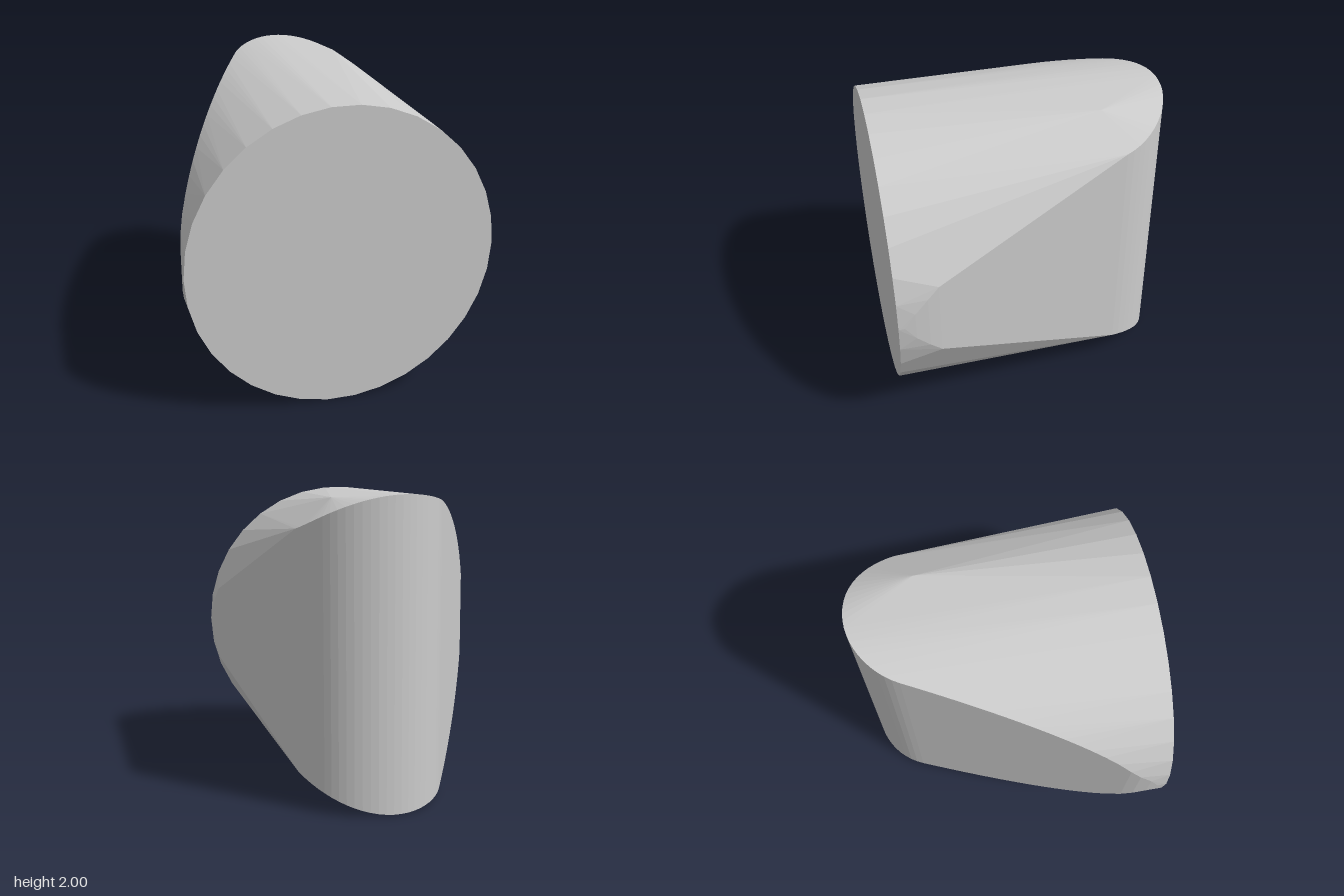
import * as THREE from 'three';
import { ConvexGeometry } from 'three/addons/geometries/ConvexGeometry.js';

// A plug that is round from the front, square from the side and a rounded wedge from the top.
export function createModel() {
  const group = new THREE.Group();
  const points = [];
  const add = (x, y, z) => points.push(new THREE.Vector3(x, y, z));

  // Upper and lower points of the round section at a given plan position
  const addPair = (x, z) => {
    const h = Math.sqrt(Math.max(0, 1 - x * x));
    add(x, 1 + h, z);
    add(x, 1 - h, z);
  };

  // Flat round front
  const sides = 34;
  for (let i = 0; i < sides; i++) {
    const a = (i / sides) * Math.PI * 2;
    add(Math.cos(a), 1 + Math.sin(a), 0.96);
  }

  // Rounded back, an arc in plan
  const arcSteps = 24;
  const start = THREE.MathUtils.degToRad(-15.6);
  const end = THREE.MathUtils.degToRad(-154.5);
  for (let i = 0; i <= arcSteps; i++) {
    const a = start + ((end - start) * i) / arcSteps;
    addPair(0.14 + 0.5 * Math.cos(a), -0.46 + 0.5 * Math.sin(a));
  }

  // Curved rim of the flat -x side
  for (let i = 1; i <= 16; i++) {
    const t = i / 16;
    addPair(THREE.MathUtils.lerp(-0.311, -0.95, t), THREE.MathUtils.lerp(-0.675, 0.69, t));
  }

  // Soft corners where the flat sides meet the front
  for (const [x, z] of [[-0.975, 0.76], [-0.992, 0.84], [-1, 0.9],
    [0.965, 0.69], [0.982, 0.765], [0.995, 0.85], [1, 0.92]]) addPair(x, z);

  // Small peak on the upper +x shoulder
  add(0.37, 1.97, -0.49);

  const plug = new THREE.Mesh(
    new ConvexGeometry(points),
    new THREE.MeshStandardMaterial({ color: 0xcccccc, flatShading: true })
  );
  plug.name = 'wedgePlug';
  group.add(plug);
  return group;
}
